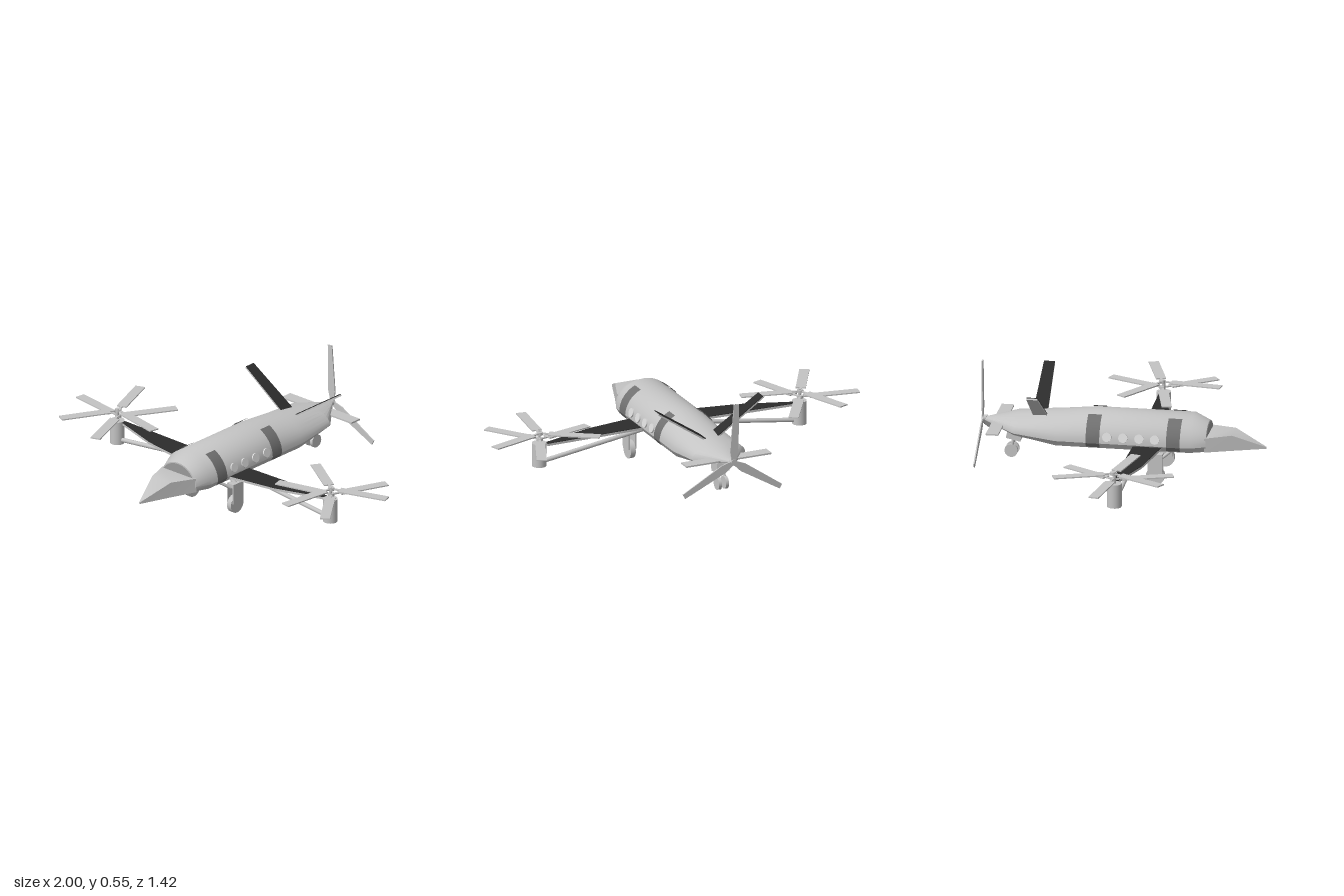
import * as THREE from 'three';
import { toCreasedNormals } from 'three/addons/utils/BufferGeometryUtils.js';

const CX = 0.017; // fuselage centre line

export function createModel() {
  const model = new THREE.Group();
  const mat = (name, color) => {
    const m = new THREE.MeshStandardMaterial({ color, side: THREE.DoubleSide });
    m.name = name;
    return m;
  };
  const hull = mat('light grey', 0xc4c4c4);
  const band = mat('mid grey', 0x707070);
  const black = mat('panel black', 0x2c2c2c);
  const pane = mat('window white', 0xdadada);
  const glass = mat('windscreen grey', 0x999999);

  const add = (name, geo, m, parent = model) => {
    const mesh = new THREE.Mesh(geo, m);
    mesh.name = name;
    parent.add(mesh);
    return mesh;
  };
  const box = (name, size, pos, m, parent) => {
    const mesh = add(name, new THREE.BoxGeometry(...size), m, parent);
    mesh.position.set(...pos);
    return mesh;
  };
  // Cylinder between two points
  const rod = (name, a, b, r, m, parent, sides = 12) => {
    const p = new THREE.Vector3(...a), q = new THREE.Vector3(...b);
    const mesh = add(name, new THREE.CylinderGeometry(r, r, p.distanceTo(q), sides), m, parent);
    mesh.position.copy(p).lerp(q, 0.5);
    mesh.quaternion.setFromUnitVectors(new THREE.Vector3(0, 1, 0), q.sub(p).normalize());
    return mesh;
  };
  // Skin over a row of cross-sections; rings run counter-clockwise seen from +z
  const loft = (rings, closed = true) => {
    const n = rings[0].length, idx = [], last = (rings.length - 1) * n;
    for (let i = 0; i < rings.length - 1; i++)
      for (let j = 0; j < (closed ? n : n - 1); j++) {
        const k = (j + 1) % n, a = i * n + j, b = i * n + k;
        idx.push(a, b, a + n, b, b + n, a + n);
      }
    if (closed)
      for (let j = 1; j < n - 1; j++) idx.push(0, j + 1, j, last, last + j, last + j + 1);
    const g = new THREE.BufferGeometry();
    g.setAttribute('position', new THREE.Float32BufferAttribute(rings.flat(2), 3));
    g.setIndex(idx);
    return toCreasedNormals(g, 0.5);
  };

  // Fuselage: flat belly, short flare, elliptical roof
  const section = ([z, w, bottom, side, top]) => {
    const pts = [[CX + w * 0.88, bottom, z]];
    for (let i = 0; i <= 20; i++) {
      const t = (i / 20) * Math.PI;
      pts.push([CX + w * Math.cos(t), side + (top - side) * Math.sin(t), z]);
    }
    pts.push([CX - w * 0.88, bottom, z]);
    return pts;
  };
  const stations = [
    [-0.705, 0.004, 0.244, 0.247, 0.253],
    [-0.53, 0.143, 0.212, 0.225, 0.292],
    [-0.32, 0.148, 0.172, 0.2, 0.314],
    [-0.134, 0.148, 0.172, 0.2, 0.334],
    [0.345, 0.148, 0.172, 0.2, 0.334],
    [0.422, 0.114, 0.172, 0.2, 0.297],
  ];
  add('fuselage', loft(stations.map(section)), hull);

  // Nose wedge with a flat deck
  const noseRing = ([z, w, top]) => [
    [CX + w, 0.172, z], [CX + w * 0.97, top, z], [CX - w * 0.97, top, z], [CX - w, 0.172, z]];
  add('nose', loft([[0.415, 0.114, 0.243], [0.545, 0.063, 0.25], [0.707, 0.003, 0.18]].map(noseRing)), hull);

  // Windscreen plate on the front of the cabin
  const screen = new THREE.Shape();
  screen.moveTo(-0.098, 0.245).lineTo(0.098, 0.245);
  for (let i = 0; i <= 10; i++) {
    const t = 0.48 + (i / 10) * (Math.PI - 0.96);
    screen.lineTo(0.108 * Math.cos(t), 0.2 + 0.092 * Math.sin(t));
  }
  add('windscreen', new THREE.ShapeGeometry(screen), glass).position.set(CX, 0, 0.425);

  for (const s of [1, -1]) {
    // Painted bands on the cabin sides
    for (const [z0, z1] of [[0.232, 0.3], [-0.168, -0.1]]) {
      const ring = z => {
        const pts = [[CX + s * 0.139, 0.178, z]];
        for (let i = 0; i <= 8; i++) {
          const t = (i / 8) * 1.11;
          pts.push([CX + s * 0.152 * Math.cos(t), 0.2 + 0.138 * Math.sin(t), z]);
        }
        return s > 0 ? pts : pts.reverse();
      };
      add('cabinBand', loft([ring(z0), ring(z1)], false), band);
    }

    // Portholes
    for (const z of [0.175, 0.097, 0.017, -0.063]) {
      const w = add('porthole', new THREE.CylinderGeometry(0.023, 0.023, 0.008, 20), pane);
      w.rotation.z = -s * (Math.PI / 2 - 0.28);
      w.position.set(CX + s * 0.145, 0.234, z);
    }

    // Tapered wing with a dark upper skin
    const wing = (depth, y, name, m) => {
      const pts = [[0.1, 0.21], [0.16, 0.2], [0.41, 0.16], [0.67, 0.075], [0.67, 0.055], [0.1, 0.067]];
      const shape = new THREE.Shape(pts.map(([x, z]) => new THREE.Vector2(s * x, -z)));
      const g = new THREE.ExtrudeGeometry(shape, { depth, bevelEnabled: false });
      add(name, g.rotateX(-Math.PI / 2), m).position.y = y;
    };
    wing(0.012, 0.18, 'wing', hull);
    wing(0.003, 0.192, 'wingTopPanel', black);

    // Engine pod, brace and mast
    const px = s > 0 ? 0.707 : -0.7, pz = 0.075;
    rod('enginePod', [px, 0.078, pz], [px, 0.198, pz], 0.036, hull, model, 24);
    rod('wingBrace', [px - s * 0.03, 0.1, pz], [CX + s * 0.12, 0.172, pz + 0.02], 0.011, hull);
    rod('rotorMast', [px, 0.195, pz], [px, 0.258, pz], 0.008, hull);

    // Two stacked three-bladed rotors
    const rotors = s > 0
      ? [[0.248, [18, 147, 263]], [0.219, [67, 194, 306]]]
      : [[0.248, [348, 111, 241]], [0.219, [171, 59, 290]]];
    for (const [y, angles] of rotors) {
      const rotor = new THREE.Group();
      rotor.name = 'liftRotor';
      rotor.position.set(px, y, pz - 0.007);
      rod('rotorHub', [0, -0.007, 0], [0, 0.007, 0], 0.016, hull, rotor);
      for (const a of angles) {
        const arm = new THREE.Group();
        arm.rotation.y = THREE.MathUtils.degToRad(a);
        rotor.add(arm);
        box('bladeRoot', [0.04, 0.006, 0.012], [0.03, 0, 0], hull, arm);
        box('rotorBlade', [0.255, 0.006, 0.05], [0.172, 0, 0], hull, arm);
      }
      model.add(rotor);
    }

    // Canted tail fin with a dark upper face
    const fin = new THREE.Group();
    fin.name = 'tailFin';
    fin.position.set(s > 0 ? 0.067 : -0.03, 0.303, s > 0 ? -0.423 : -0.412);
    fin.rotation.z = s * 0.59;
    const finPlate = (name, y0, y1, m) => {
      const shape = new THREE.Shape([[-0.03, -0.036], [0.284, -0.027], [0.284, 0.027], [-0.03, 0.036]]
        .map(([x, z]) => new THREE.Vector2(s * x, z)));
      const g = new THREE.ExtrudeGeometry(shape, { depth: y1 - y0, bevelEnabled: false });
      add(name, g.rotateX(-Math.PI / 2), m, fin).position.y = y0;
    };
    finPlate('finCore', -0.008, 0, hull);
    finPlate('finTopPanel', 0, 0.004, black);
    model.add(fin);

    // Main landing gear
    const gx = s > 0 ? 0.171 : -0.114, gz = 0.177;
    for (const side of [-1, 1])
      box('wheelFork', [0.008, 0.105, 0.073], [gx + side * 0.018, 0.108, gz], hull);
    box('forkCrown', [0.044, 0.02, 0.073], [gx, 0.15, gz], hull);
    rod('mainWheel', [gx - 0.013, 0.046, gz], [gx + 0.013, 0.046, gz], 0.046, hull, model, 28);
    for (const dz of [-0.075, 0.085])
      rod('gearStrut', [gx - s * 0.035, 0.178, gz + dz], [gx, 0.14, gz + dz * 0.4], 0.008, hull);
    rod('gearLeg', [gx - s * 0.03, 0.18, gz], [gx, 0.15, gz], 0.012, hull);

    // Tail wheels
    const tx = CX + s * 0.019;
    rod('tailWheel', [tx - 0.008, 0.096, -0.56], [tx + 0.008, 0.096, -0.56], 0.033, hull, model, 24);
    rod('tailWheelLeg', [tx, 0.165, -0.548], [tx, 0.096, -0.56], 0.007, hull);
  }
  box('tailGearBox', [0.064, 0.045, 0.073], [CX, 0.176, -0.545], hull).rotation.x = 0.22;
  rod('tailGearLeg', [CX, 0.225, -0.53], [CX, 0.18, -0.543], 0.012, hull);

  // Horizontal stabiliser
  box('stabiliser', [0.46, 0.008, 0.062], [CX, 0.243, -0.62], hull);

  // Pusher propeller
  const prop = new THREE.Group();
  prop.name = 'pusherPropeller';
  prop.position.set(CX, 0.25, -0.704);
  rod('propellerHub', [0, 0, -0.006], [0, 0, 0.02], 0.016, hull, prop);
  for (let i = 0; i < 3; i++) {
    const arm = new THREE.Group();
    arm.rotation.z = THREE.MathUtils.degToRad(93 + i * 120);
    prop.add(arm);
    const shape = new THREE.Shape([[0.01, -0.012], [0.06, -0.022], [0.302, -0.014], [0.302, 0.012], [0.06, 0.022], [0.01, 0.012]]
      .map(p => new THREE.Vector2(...p)));
    add('propellerBlade', new THREE.ExtrudeGeometry(shape, { depth: 0.006, bevelEnabled: false }), hull, arm).position.z = -0.003;
  }
  model.add(prop);

  return model;
}
